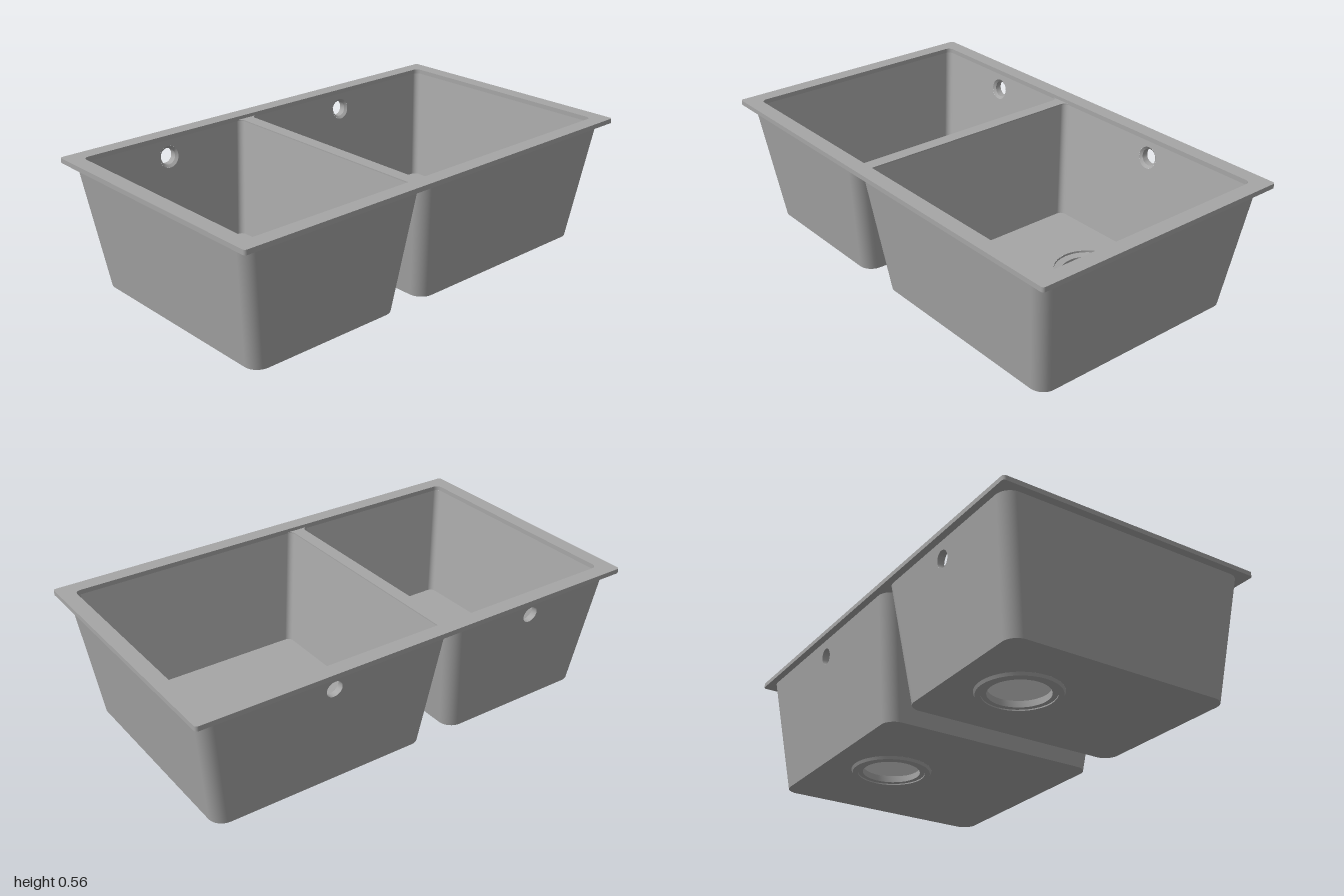
import * as THREE from 'three';
import { toCreasedNormals } from 'three/addons/utils/BufferGeometryUtils.js';

const RIM_TOP = 0.555, LEDGE = 0.54, RIM_BASE = 0.535;
const FLOOR = 0.045, BASE = 0.012, DRAIN_Z = -0.21, OVERFLOW_Y = 0.465;

// Each basin: outer and inner x ranges at the top and bottom, and the drain position
const BASINS = [
  { name: 'smallBasin', drainX: -0.543, outTop: [-0.968, -0.13], outBot: [-0.898, -0.195], inTop: [-0.935, -0.155], inBot: [-0.867, -0.223] },
  { name: 'largeBasin', drainX: 0.413, outTop: [-0.126, 0.966], outBot: [-0.062, 0.896], inTop: [-0.1, 0.935], inBot: [-0.032, 0.867] },
];

// Rounded rectangle, usable as a shape or as a hole
function roundRect(x0, x1, z, r, path = new THREE.Shape()) {
  path.moveTo(x0 + r, -z);
  path.absarc(x1 - r, -z + r, r, -Math.PI / 2, 0);
  path.absarc(x1 - r, z - r, r, 0, Math.PI / 2);
  path.absarc(x0 + r, z - r, r, Math.PI / 2, Math.PI);
  path.absarc(x0 + r, -z + r, r, Math.PI, Math.PI * 1.5);
  path.closePath();
  return path;
}

const circleHole = (x, y, r) => new THREE.Path().absarc(x, y, r, 0, Math.PI * 2, true);

function flip(geo) {
  geo.index.array.reverse();
  geo.computeVertexNormals();
  return geo;
}

// Three tapered sides and four rounded corners; the back side is left for a pierced panel
function sidesGeometry(top, bot, r, inside) {
  const pos = [], nor = [], idx = [], seg = 8;
  const slope = (top.z - bot.z) / (top.y - bot.y), sign = inside ? -1 : 1;
  [[1, 1], [-1, 1], [-1, -1], [1, -1]].forEach(([sx, sz], k) => {
    for (let j = 0; j <= seg; j++) {
      const a = (k + j / seg) * Math.PI / 2, c = Math.cos(a), s = Math.sin(a);
      const n = new THREE.Vector3(c, -slope * (sx * c + sz * s), s).normalize().multiplyScalar(sign);
      for (const l of [top, bot]) {
        const edge = sx > 0 ? l.x[1] : l.x[0];
        pos.push(edge - sx * r + r * c, l.y, sz * (l.z - r) + r * s);
        nor.push(n.x, n.y, n.z);
      }
    }
  });
  const count = 4 * (seg + 1);
  for (let i = 0; i < count; i++) {
    if (i === 3 * (seg + 1) - 1) continue;
    const a = 2 * i, c = a + 1, b = 2 * ((i + 1) % count), d = b + 1;
    if (inside) idx.push(c, d, a, d, b, a);
    else idx.push(c, a, d, d, a, b);
  }
  const geo = new THREE.BufferGeometry();
  geo.setAttribute('position', new THREE.Float32BufferAttribute(pos, 3));
  geo.setAttribute('normal', new THREE.Float32BufferAttribute(nor, 3));
  geo.setIndex(idx);
  return geo;
}

const backZ = (top, bot, y) => -(bot.z + (top.z - bot.z) * (y - bot.y) / (top.y - bot.y));

// Sloping back panel with the overflow hole
function backGeometry(top, bot, r, inside, holeX, holeR) {
  const shape = new THREE.Shape([
    new THREE.Vector2(bot.x[0] + r, bot.y), new THREE.Vector2(bot.x[1] - r, bot.y),
    new THREE.Vector2(top.x[1] - r, top.y), new THREE.Vector2(top.x[0] + r, top.y),
  ]);
  shape.holes.push(circleHole(holeX, OVERFLOW_Y, holeR));
  const geo = new THREE.ShapeGeometry(shape, 16);
  const p = geo.attributes.position;
  for (let i = 0; i < p.count; i++) p.setZ(i, backZ(top, bot, p.getY(i)));
  geo.computeVertexNormals();
  return inside ? geo : flip(geo);
}

// Horizontal basin floor with a round drain opening
function floorGeometry(l, r, holeX, holeR, down) {
  const shape = roundRect(l.x[0], l.x[1], l.z, r);
  shape.holes.push(circleHole(holeX, -DRAIN_Z, holeR));
  const geo = new THREE.ShapeGeometry(shape, 24).rotateX(-Math.PI / 2).translate(0, l.y, 0);
  return down ? flip(geo) : geo;
}

// Countersunk tunnel through the back wall
function overflowGeometry(x, inner, outer) {
  const n = 24, pos = [], idx = [];
  const rings = [[0.046, 0], [0.035, 0.25], [0.035, 1]];
  for (const [r, t] of rings) {
    for (let i = 0; i < n; i++) {
      const a = i / n * Math.PI * 2, y = OVERFLOW_Y + r * Math.sin(a);
      pos.push(x + r * Math.cos(a), y, THREE.MathUtils.lerp(backZ(...inner, y), backZ(...outer, y), t));
    }
  }
  for (let k = 0; k < rings.length - 1; k++) {
    for (let i = 0; i < n; i++) {
      const a = k * n + i, b = k * n + (i + 1) % n;
      idx.push(a, b, a + n, b, b + n, a + n);
    }
  }
  const geo = new THREE.BufferGeometry();
  geo.setAttribute('position', new THREE.Float32BufferAttribute(pos, 3));
  geo.setIndex(idx);
  return toCreasedNormals(geo, 0.4);
}

// Plate with rounded openings, lying between two heights
function plateGeometry(openings, y0, y1) {
  const shape = roundRect(-1, 1, 0.588, 0.012);
  for (const [x0, x1] of openings) shape.holes.push(roundRect(x0, x1, 0.522, 0.025, new THREE.Path()));
  return new THREE.ExtrudeGeometry(shape, { depth: y1 - y0, bevelEnabled: false, curveSegments: 8 })
    .rotateX(-Math.PI / 2).translate(0, y0, 0);
}

export function createModel() {
  const model = new THREE.Group();
  model.name = 'doubleSink';
  const stone = new THREE.MeshStandardMaterial({ color: 0xa6a6a6 });
  stone.name = 'grey composite';
  const add = (parent, name, geo) => {
    const mesh = new THREE.Mesh(geo, stone);
    mesh.name = name;
    parent.add(mesh);
    return mesh;
  };

  // Raised rim, and the lower ledge that forms the divider
  add(model, 'rim', plateGeometry([[-0.935, 0.935]], LEDGE, RIM_TOP));
  add(model, 'dividerLedge', plateGeometry(BASINS.map((b) => b.inTop), RIM_BASE, LEDGE));

  // Recessed drain collar with a foot ring below the base
  const collar = [
    [0.152, FLOOR], [0.152, 0.036], [0.122, 0.032], [0.122, 0.005],
    [0.143, 0.005], [0.143, 0], [0.165, 0], [0.171, BASE],
  ].map(([r, y]) => new THREE.Vector2(r, y));
  const collarGeo = toCreasedNormals(new THREE.LatheGeometry(collar, 36), 0.4);

  for (const b of BASINS) {
    const basin = new THREE.Group();
    basin.name = b.name;
    model.add(basin);
    const outer = [{ x: b.outTop, z: 0.559, y: RIM_BASE }, { x: b.outBot, z: 0.488, y: BASE }];
    const inner = [{ x: b.inTop, z: 0.522, y: RIM_BASE }, { x: b.inBot, z: 0.454, y: FLOOR }];

    add(basin, 'outerSides', sidesGeometry(...outer, 0.06, false));
    add(basin, 'outerBack', backGeometry(...outer, 0.06, false, b.drainX, 0.035));
    add(basin, 'underside', floorGeometry(outer[1], 0.06, b.drainX, 0.171, true));
    add(basin, 'innerSides', sidesGeometry(...inner, 0.025, true));
    add(basin, 'innerBack', backGeometry(...inner, 0.025, true, b.drainX, 0.046));
    add(basin, 'floor', floorGeometry(inner[1], 0.025, b.drainX, 0.152, false));
    add(basin, 'overflow', overflowGeometry(b.drainX, inner, outer));
    add(basin, 'drainCollar', collarGeo).position.set(b.drainX, 0, DRAIN_Z);
  }
  return model;
}
